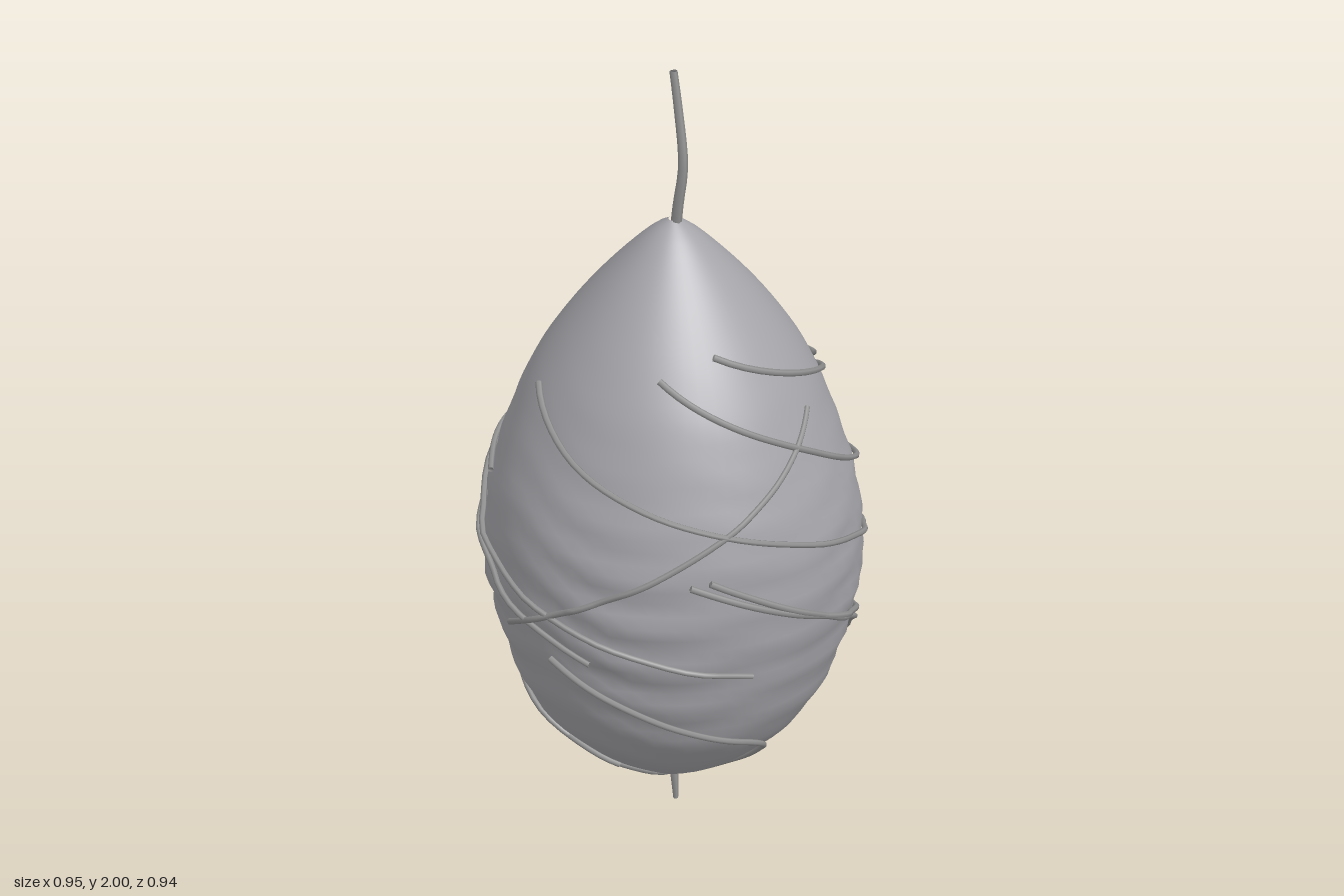
import * as THREE from 'three';
import { mergeVertices } from 'three/addons/utils/BufferGeometryUtils.js';

const V = (x, y, z) => new THREE.Vector3(x, y, z);

// Cocoon silhouette: radius, height
const profile = new THREE.CatmullRomCurve3([
  [0.006, 0.08], [0.06, 0.1], [0.15, 0.15], [0.24, 0.21], [0.33, 0.3], [0.39, 0.41],
  [0.452, 0.64], [0.458, 0.76], [0.445, 0.9], [0.355, 1.17], [0.29, 1.29],
  [0.205, 1.41], [0.12, 1.51], [0.05, 1.58], [0.012, 1.605],
].map(([r, y]) => V(r, y, 0)));
const samples = profile.getSpacedPoints(300);

function radiusAt(y) {
  const i = samples.findIndex((p) => p.y >= y);
  if (i < 1) return i === 0 ? samples[0].x : 0.012;
  const a = samples[i - 1], b = samples[i];
  return a.x + (b.x - a.x) * (y - a.y) / (b.y - a.y);
}

// Mostly horizontal wrinkles, strongest around the belly
function wrinkle(angle, y) {
  const belly = Math.exp(-Math.pow((y - 0.65) / 0.36, 2));
  const folds = Math.sin(y * 52 + 2.2 * Math.sin(angle * 2 + 1) + 1.3 * Math.sin(angle * 5 + y * 4));
  const dents = Math.sin(angle * 7 + y * 23) * Math.sin(angle * 4 - y * 31);
  return belly * (0.005 * folds + 0.004 * dents) + 0.003 * Math.sin(angle * 3 + y * 6) * Math.min(1, radiusAt(y) * 3);
}

// Point on the shell; angle runs from the front (+z) towards +x
function onShell(angle, y, lift = 0) {
  const r = Math.max(0.004, radiusAt(y) + wrinkle(angle, y)) + lift;
  return V(r * Math.sin(angle), y, r * Math.cos(angle));
}

function buildBody() {
  const geo = new THREE.LatheGeometry(profile.getSpacedPoints(56).map((p) => new THREE.Vector2(p.x, p.y)), 56);
  const pos = geo.attributes.position;
  for (let i = 0; i < pos.count; i++) {
    const p = onShell(Math.atan2(pos.getX(i), pos.getZ(i)), pos.getY(i));
    pos.setXYZ(i, p.x, p.y, p.z);
  }
  geo.deleteAttribute('uv');
  geo.deleteAttribute('normal');
  const welded = mergeVertices(geo, 1e-4);
  welded.computeVertexNormals();
  return welded;
}

// Tube that narrows from r0 to r1, with closed ends
function strand(curve, r0, r1, segments, sides = 6) {
  const geo = new THREE.TubeGeometry(curve, segments, 1, sides);
  const pos = geo.attributes.position;
  for (let i = 0; i <= segments; i++) {
    const centre = curve.getPointAt(i / segments);
    const r = r0 + (r1 - r0) * i / segments;
    for (let j = 0; j <= sides; j++) {
      const k = i * (sides + 1) + j;
      const p = V().fromBufferAttribute(pos, k).sub(centre).multiplyScalar(r).add(centre);
      pos.setXYZ(k, p.x, p.y, p.z);
    }
  }
  // End caps as fans on the first and last ring
  const index = Array.from(geo.index.array), last = segments * (sides + 1);
  for (let j = 1; j < sides - 1; j++) {
    index.push(0, j, j + 1);
    index.push(last, last + j + 1, last + j);
  }
  geo.setIndex(index);
  return geo;
}

// Wound threads as (degrees around, height) pairs
const threads = [
  [[23, 1.35], [90, 1.19], [165, 0.97], [282, 0.73]],
  [[-6, 1.31], [50, 1.11], [90, 0.95], [162, 0.76]],
  [[-71, 1.21], [-30, 1.07], [30, 0.92], [123, 0.67]],
  [[147, 1.43], [205, 1.18], [264, 0.86], [330, 0.67], [387, 0.55]],
  [[144, 1.26], [193, 1.0], [264, 0.79], [334, 0.59]],
  [[-60, 0.61], [0, 0.87], [65, 1.17]],
  [[100, 0.64], [155, 0.89], [205, 1.18]],
  [[12, 0.84], [60, 0.63], [90, 0.5], [120, 0.27]],
  [[6, 0.83], [70, 0.6], [125, 0.43], [155, 0.29]],
  [[-41, 0.57], [0, 0.41], [52, 0.23], [60, 0.11], [40, 0.08]],
  [[115, 1.15], [165, 1.06], [278, 0.94]],
  [[145, 0.78], [210, 0.52], [280, 0.31], [315, 0.17], [330, 0.08]],
  [[149, 0.62], [210, 0.42], [280, 0.28], [325, 0.19]],
];

export function createModel() {
  const group = new THREE.Group();
  const shellGrey = new THREE.MeshStandardMaterial({ color: 0xa6a5aa });
  shellGrey.name = 'shellGrey';
  const threadGrey = new THREE.MeshStandardMaterial({ color: 0x929292 });
  threadGrey.name = 'threadGrey';

  function add(name, geo, material) {
    const mesh = new THREE.Mesh(geo, material);
    mesh.name = name;
    group.add(mesh);
  }

  add('cocoonBody', buildBody(), shellGrey);

  threads.forEach((points, n) => {
    // Resample along the shell so the thread hugs the surface
    const track = new THREE.CatmullRomCurve3(points.map(([a, y]) => V(THREE.MathUtils.degToRad(a), y, 0)));
    const path = track.getPoints(28).map((p) => onShell(p.x, p.y, 0.009));
    add('windingThread' + (n + 1), strand(new THREE.CatmullRomCurve3(path), 0.0085, 0.007, 44), threadGrey);
  });

  // Hanging stem at the top
  const stem = new THREE.CatmullRomCurve3([
    V(0.005, 1.57, 0), V(0.012, 1.65, 0.01), V(0.024, 1.76, 0.014), V(0.01, 1.92, -0.012), V(0, 2, -0.025),
  ]);
  add('hangingStem', strand(stem, 0.014, 0.01, 12), threadGrey);

  // Loose tail below
  const tail = new THREE.CatmullRomCurve3([V(0, 0.11, 0), V(0.003, 0.06, 0.003), V(0.006, 0, 0)]);
  add('looseTail', strand(tail, 0.012, 0.006, 6), threadGrey);

  return group;
}
